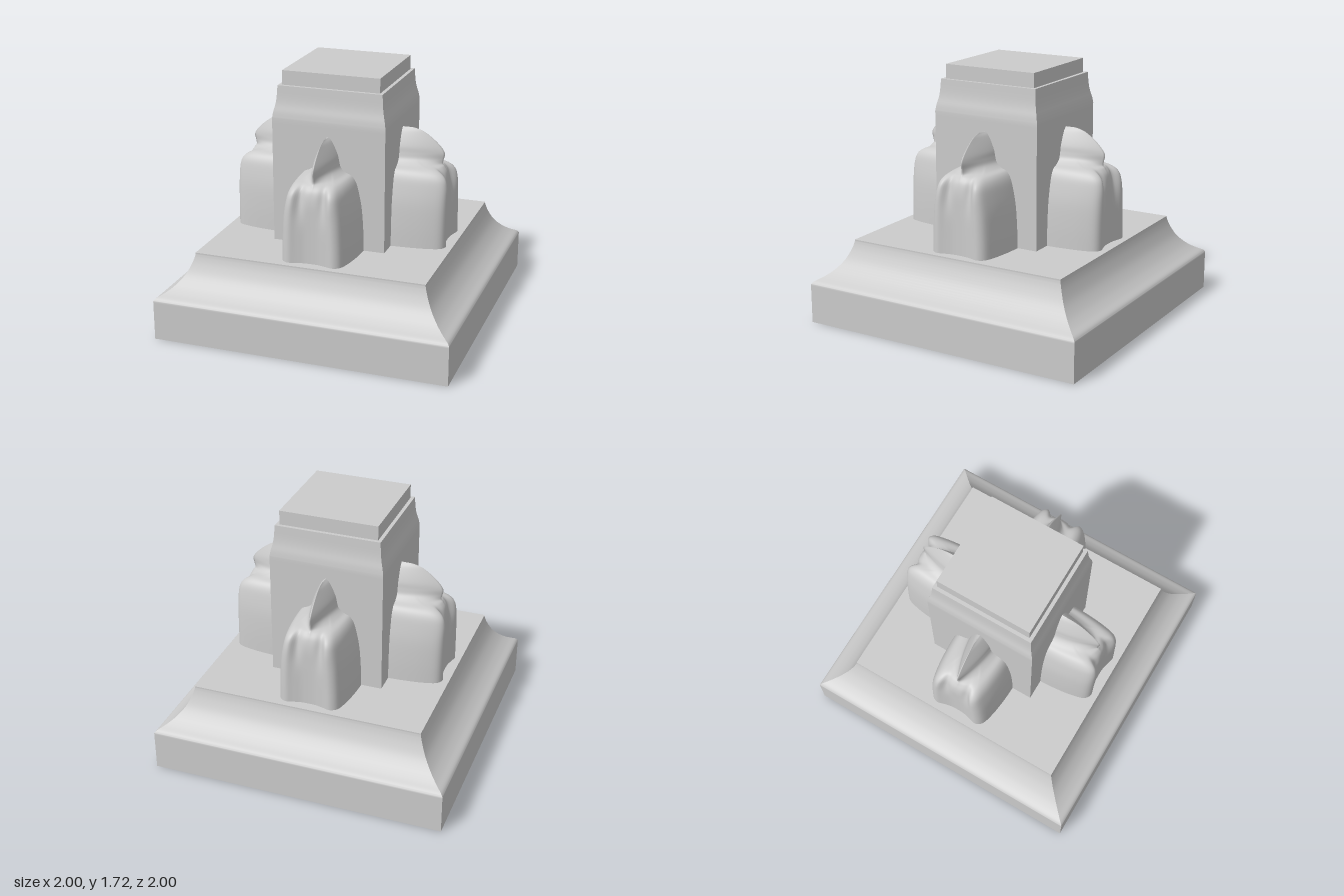
import * as THREE from 'three';
import { toCreasedNormals } from 'three/addons/utils/BufferGeometryUtils.js';

const material = new THREE.MeshStandardMaterial({ color: 0xcccccc });
const vectors = (rows) => rows.map(([x, y]) => new THREE.Vector2(x, y));
const smooth = (rows, n) => new THREE.SplineCurve(vectors(rows)).getPoints(n);

// Square block swept from a profile of [half width, height]
function squareBlock(name, profile) {
  const points = profile.map((p) => new THREE.Vector2(p.x * Math.SQRT2, p.y));
  const geometry = new THREE.LatheGeometry(points, 4, Math.PI / 4);
  const mesh = new THREE.Mesh(toCreasedNormals(geometry, 0.6), material);
  mesh.name = name;
  return mesh;
}

// Hooded figure: stacked cross-sections that change from a draped body to a pointed hood
function figureGeometry() {
  // height, half width, front depth, hood amount
  const rows = [
    [0.55, 0.247, 0.74, 0], [0.7, 0.243, 0.74, 0], [0.85, 0.232, 0.74, 0],
    [0.96, 0.212, 0.738, 0], [1.03, 0.192, 0.725, 0.03], [1.07, 0.165, 0.7, 0.2],
    [1.09, 0.125, 0.677, 0.6], [1.12, 0.094, 0.675, 0.9], [1.16, 0.082, 0.68, 1],
    [1.2, 0.074, 0.657, 1], [1.25, 0.054, 0.605, 1], [1.295, 0.03, 0.54, 1],
    [1.315, 0.01, 0.485, 1], [1.32, 0, 0.45, 1],
  ];
  const outline = new THREE.SplineCurve(vectors(rows.map((r) => [r[0], r[1]])));
  const depth = new THREE.SplineCurve(vectors(rows.map((r) => [r[2], r[3]])));
  // half of the body section: share of width, share of depth
  const body = new THREE.SplineCurve(vectors([
    [1, 0], [1, 0.25], [0.97, 0.5], [0.91, 0.74], [0.81, 0.93],
    [0.63, 1], [0.42, 0.975], [0.2, 0.948], [0, 0.943],
  ]));
  const back = 0.3, half = 32, levels = 78, count = 2 * half + 1;
  const positions = [], index = [];
  for (let j = 0; j <= levels; j++) {
    const { x: y, y: rawWidth } = outline.getPoint(j / levels);
    const { x: front, y: rawHood } = depth.getPoint(j / levels);
    const width = Math.max(0, rawWidth);
    const hood = THREE.MathUtils.clamp(rawHood, 0, 1);
    const fold = 0.028 * Math.exp(-(((y - 1.02) / 0.13) ** 2)) * (1 - hood);
    for (let i = 0; i < count; i++) {
      const side = i <= half ? 1 : -1;
      const s = (i <= half ? i : 2 * half - i) / half;
      const b = body.getPoint(s);
      const x = width * THREE.MathUtils.lerp(b.x, 1 - s ** 1.9, hood);
      const z = back + (front - back) * THREE.MathUtils.lerp(b.y, s, hood);
      const groove = s > 0.5 ? fold * Math.exp(-(((x - 0.08) / 0.03) ** 2)) : 0;
      positions.push(side * x, y, z - groove);
      if (j < levels && i < count - 1) {
        const a = j * count + i, up = a + count;
        index.push(a, up, a + 1, up, up + 1, a + 1);
      }
    }
  }
  const geometry = new THREE.BufferGeometry();
  geometry.setAttribute('position', new THREE.Float32BufferAttribute(positions, 3));
  geometry.setIndex(index);
  geometry.computeVertexNormals();
  return geometry;
}

export function createModel() {
  const model = new THREE.Group();
  model.name = 'pedestal';

  // Wide plinth with a concave upper moulding
  model.add(squareBlock('plinth', [
    ...vectors([[0, 0], [1, 0], [1, 0.26]]),
    ...smooth([[1, 0.27], [0.985, 0.288], [0.94, 0.315], [0.89, 0.355],
      [0.84, 0.415], [0.805, 0.485], [0.787, 0.54], [0.785, 0.56]], 28),
    ...vectors([[0, 0.56]]),
  ]));

  // Square column narrowing below its cap
  model.add(squareBlock('column', [
    ...vectors([[0, 0.55], [0.388, 0.55], [0.388, 1.38]]),
    ...smooth([[0.388, 1.41], [0.382, 1.45], [0.37, 1.5], [0.363, 1.55], [0.358, 1.625]], 16),
    ...vectors([[0, 1.625]]),
  ]));

  // Flat cap slab
  const cap = new THREE.Mesh(new THREE.BoxGeometry(0.668, 0.1, 0.668), material);
  cap.name = 'cap';
  cap.position.y = 1.672;
  model.add(cap);

  // One hooded figure on each face of the column
  const geometry = figureGeometry();
  ['frontFigure', 'leftFigure', 'backFigure', 'rightFigure'].forEach((name, i) => {
    const figure = new THREE.Mesh(geometry, material);
    figure.name = name;
    figure.rotation.y = (i * Math.PI) / 2;
    model.add(figure);
  });
  return model;
}
